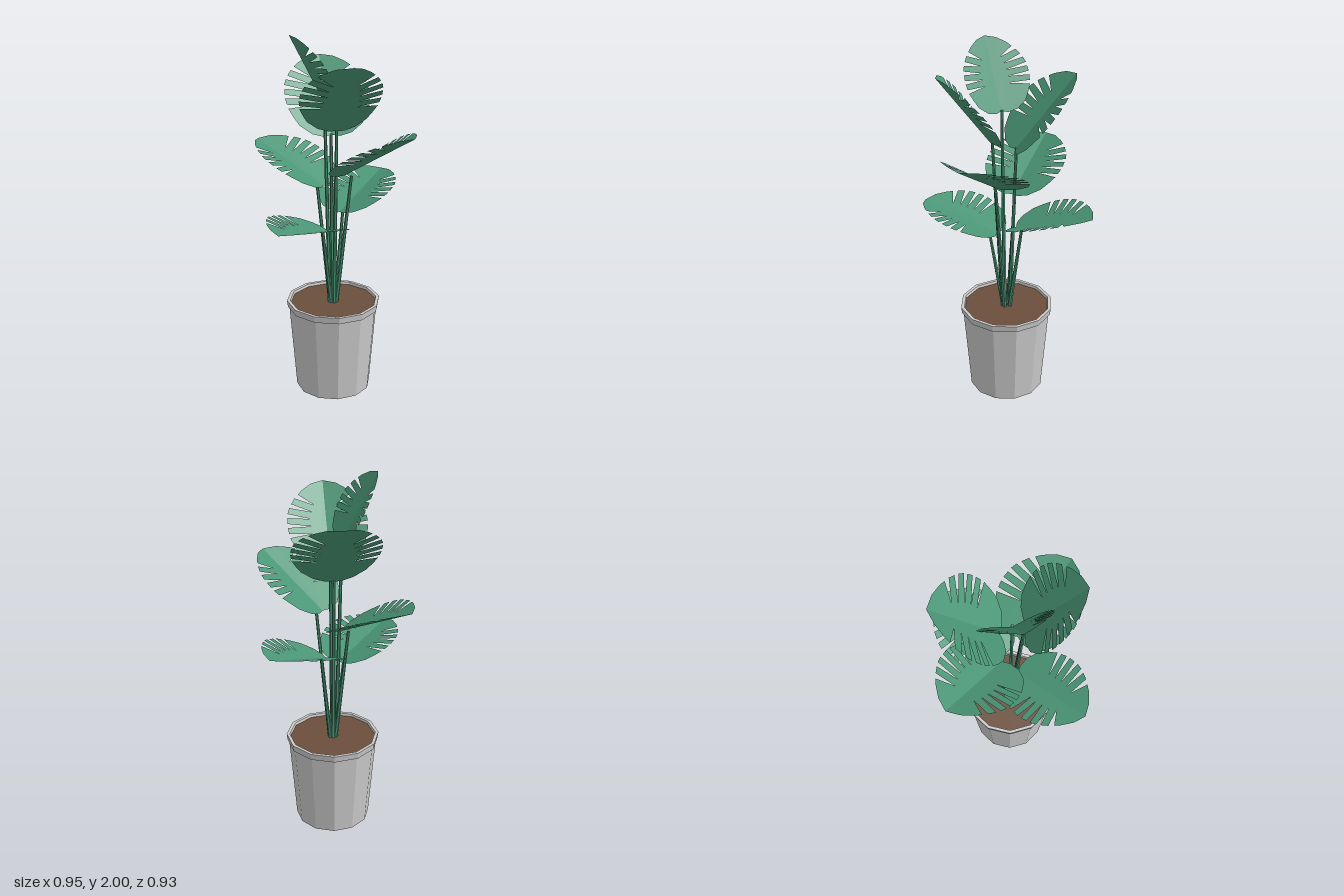
import * as THREE from 'three';
import { mergeGeometries } from 'three/addons/utils/BufferGeometryUtils.js';

const UP = new THREE.Vector3(0, 1, 0);
const FOLD = 0.24; // how far each leaf half lifts from the midrib

// Each leaf: direction in degrees, start and tip (distance from the axis, height), stem top distance
const LEAVES = [
  { angle: -19, base: [0.06, 1.02], tip: [0.5, 1.165], stem: 0.095 },
  { angle: 159.5, base: [0.06, 0.95], tip: [0.51, 1.06], stem: 0.105 },
  { angle: -110, base: [0.065, 1.175], tip: [0.497, 1.38], stem: 0.105 },
  { angle: 71, base: [0.07, 1.255], tip: [0.49, 1.515], stem: 0.115 },
  { angle: -65, base: [0.05, 1.455], tip: [0.38, 1.83], stem: 0.055 },
  { angle: 114, base: [0.09, 1.51], tip: [0.367, 1.88], stem: 0.077 },
  { angle: -165, base: [0.055, 1.65], tip: [0.24, 2.0], stem: 0.05 },
];

// Half-width of the blade as [position along the midrib, width], for length 1
const ROUND_BASE = [[0, 0], [-0.03, 0.09], [-0.01, 0.22], [0.08, 0.35]];
const MARGIN = [[0.08, 0.35], [0.25, 0.45], [0.42, 0.48], [0.6, 0.46], [0.74, 0.38], [0.86, 0.27], [0.95, 0.15], [1, 0]];
const SLOTS = [0.3, 0.42, 0.54, 0.66, 0.78];

function widthAt(u) {
  const i = MARGIN.findIndex((p) => p[0] >= u);
  const [a, b] = [MARGIN[i - 1], MARGIN[i]];
  return THREE.MathUtils.mapLinear(u, a[0], b[0], a[1], b[1]);
}

// Both blade halves, slotted along the margin and folded up from the midrib (+y), facing +z
function bladeGeometry() {
  const outline = [...ROUND_BASE, [0.18, widthAt(0.18)]];
  for (const u of SLOTS) {
    const inner = 0.45 + 0.72 * (u - 0.45);
    outline.push([u - 0.024, widthAt(u - 0.024)], [inner, 0.38 * widthAt(u)], [u + 0.024, widthAt(u + 0.024)]);
  }
  outline.push(...MARGIN.slice(-3));
  const halves = [1, -1].map((side) => {
    const shape = new THREE.Shape(outline.map(([u, w]) => new THREE.Vector2(side * w, u)));
    return new THREE.ShapeGeometry(shape).rotateY(-side * FOLD);
  });
  return mergeGeometries(halves);
}

function polar(angle, radius, y) {
  return new THREE.Vector3(Math.cos(angle) * radius, y, Math.sin(angle) * radius);
}

function named(name, geometry, material) {
  const mesh = new THREE.Mesh(geometry, material);
  mesh.name = name;
  return mesh;
}

function lathe(profile) {
  return new THREE.LatheGeometry(profile.map(([r, y]) => new THREE.Vector2(r, y)), 12);
}

export function createModel() {
  const model = new THREE.Group();
  model.name = 'pottedPlant';

  const potMaterial = new THREE.MeshStandardMaterial({ color: 0xcccccc, flatShading: true });
  const soilMaterial = new THREE.MeshStandardMaterial({ color: 0x6b4f3d, flatShading: true });
  const stemMaterial = new THREE.MeshStandardMaterial({ color: 0x4a9676, flatShading: true });
  const leafMaterial = new THREE.MeshStandardMaterial({ color: 0x4a9676, flatShading: true, side: THREE.DoubleSide });

  // Tapered pot with a thicker rim, filled with soil
  model.add(named('pot', lathe([[0, 0], [0.209, 0], [0.247, 0.49]]), potMaterial));
  model.add(named('potRim', lathe([[0.24, 0.488], [0.255, 0.488], [0.26, 0.525], [0.242, 0.525], [0.236, 0.5]]), potMaterial));
  const soil = named('soil', new THREE.CircleGeometry(0.24, 12).rotateX(-Math.PI / 2), soilMaterial);
  soil.position.y = 0.51;
  model.add(soil);

  // Stems fan out from the middle of the pot, each carrying one leaf
  const blade = bladeGeometry();
  for (const { angle, base, tip, stem } of LEAVES) {
    const a = THREE.MathUtils.degToRad(angle);
    const start = polar(a, base[0], base[1]);
    const along = polar(a, tip[0], tip[1]).sub(start);
    const length = along.length();
    along.normalize();

    const leaf = named('leaf', blade, leafMaterial);
    const across = along.clone().cross(UP).normalize();
    const facing = across.clone().cross(along);
    leaf.quaternion.setFromRotationMatrix(new THREE.Matrix4().makeBasis(across, along, facing));
    leaf.position.copy(start);
    leaf.scale.setScalar(length);
    model.add(leaf);

    const foot = polar(a, 0.02, 0.5);
    const top = polar(a, stem, base[1] + 0.005);
    const path = new THREE.LineCurve3(foot, top);
    const stalk = named('stem', new THREE.CylinderGeometry(0.008, 0.012, path.getLength(), 6), stemMaterial);
    stalk.position.copy(path.getPoint(0.5));
    stalk.quaternion.setFromUnitVectors(UP, path.getTangent(0));
    model.add(stalk);
  }
  return model;
}
